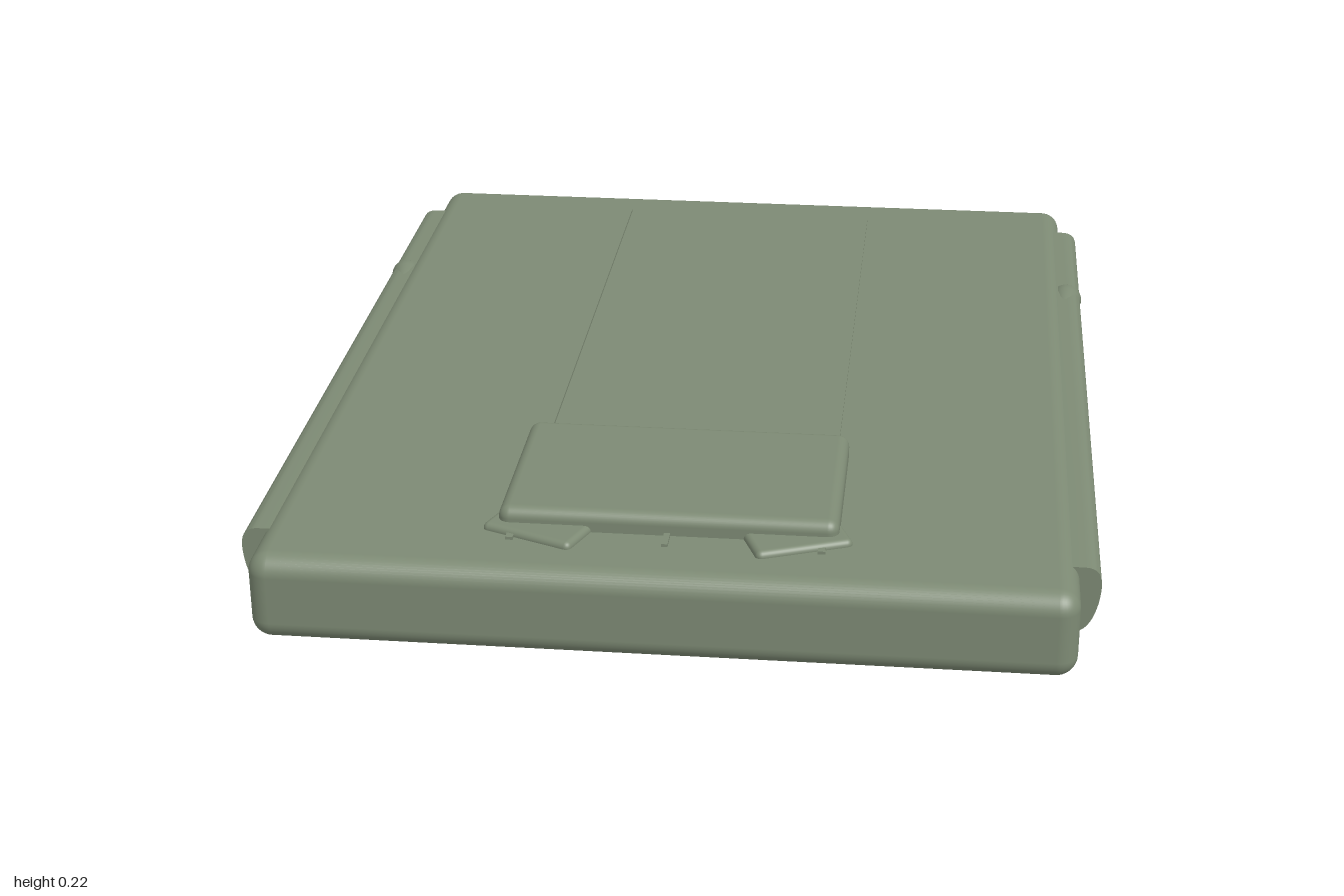
import * as THREE from 'three';
import { toCreasedNormals } from 'three/addons/utils/BufferGeometryUtils.js';
import { RoundedBoxGeometry } from 'three/addons/geometries/RoundedBoxGeometry.js';

const olive = new THREE.MeshStandardMaterial({ color: 0x7d8a74 });
olive.name = 'olive green';

function add(parent, name, geometry, x = 0, y = 0, z = 0) {
  const mesh = new THREE.Mesh(geometry, olive);
  mesh.name = name;
  mesh.position.set(x, y, z);
  parent.add(mesh);
  return mesh;
}

// Curved rail that bulges from one long side of the slab
function railGeometry(side) {
  const shape = new THREE.Shape();
  shape.moveTo(side * 0.73, 0.03);
  shape.lineTo(side * 0.768, 0.03);
  shape.bezierCurveTo(side * 0.795, 0.035, side * 0.808, 0.08, side * 0.811, 0.115);
  shape.bezierCurveTo(side * 0.814, 0.15, side * 0.805, 0.165, side * 0.78, 0.166);
  shape.lineTo(side * 0.73, 0.166);
  const geometry = new THREE.ExtrudeGeometry(shape, { depth: 1.72, bevelEnabled: false, curveSegments: 10 });
  geometry.translate(0, 0, -0.86);
  return toCreasedNormals(geometry, 0.6);
}

// Teardrop catch, thin at the front and blunt at the back
function catchGeometry() {
  const profile = [[0, -0.1], [0.022, -0.098], [0.032, -0.09], [0.036, -0.076], [0.034, -0.055],
    [0.024, 0], [0.012, 0.06], [0, 0.11]].map(([r, y]) => new THREE.Vector2(r, y));
  return new THREE.LatheGeometry(profile, 24);
}

export function createModel() {
  const model = new THREE.Group();
  model.name = 'flatPack';

  // Main slab
  add(model, 'slab', new RoundedBoxGeometry(1.54, 0.175, 2, 5, 0.04), 0, 0.0875, 0);

  // Raised block and the short centre tab below it
  add(model, 'raisedBlock', new RoundedBoxGeometry(0.645, 0.07, 0.4, 4, 0.022), 0, 0.181, 0.63);
  add(model, 'centreTab', new THREE.BoxGeometry(0.012, 0.02, 0.1), 0, 0.171, 0.825);

  for (const side of [-1, 1]) {
    const label = side > 0 ? 'left' : 'right';
    add(model, label + 'Rail', railGeometry(side));

    // Long thin seam along the top
    add(model, label + 'Seam', new THREE.BoxGeometry(0.014, 0.02, 1.755), side * 0.293, 0.171, -0.0025);

    // Angled flap that sticks out from under the block
    const flap = add(model, label + 'Flap', new RoundedBoxGeometry(0.19, 0.04, 0.15, 3, 0.012),
      side * 0.236, 0.168, 0.803);
    flap.rotation.y = side * 0.38;

    // Side catch
    const clasp = add(model, label + 'Catch', catchGeometry(), side * 0.772, 0.142, -0.43);
    const axis = new THREE.Vector3(-side * 0.09, 0.08, 1).normalize();
    clasp.quaternion.setFromUnitVectors(new THREE.Vector3(0, 1, 0), axis);
  }
  return model;
}
